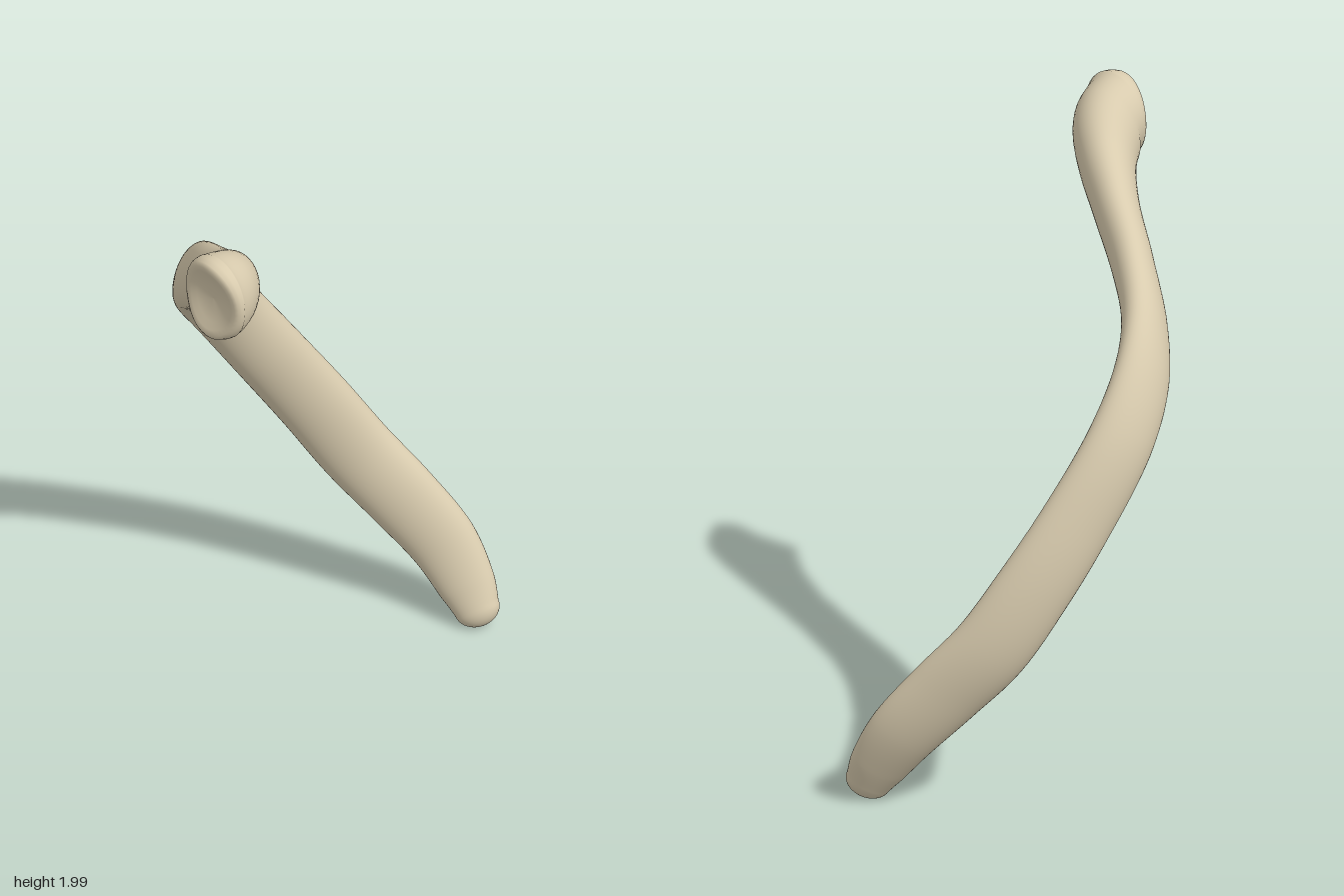
import * as THREE from 'three';

// Stations from head to tip: centre x, y, z, half width, half thickness, twist in degrees
const STATIONS = [
  [-0.622, 1.858, 0.323, 0.141, 0.128, -22],
  [-0.57, 1.835, 0.298, 0.136, 0.114, -32],
  [-0.49, 1.767, 0.218, 0.123, 0.09, -42],
  [-0.4, 1.683, 0.085, 0.11, 0.073, -46],
  [-0.3, 1.575, -0.09, 0.107, 0.067, -45],
  [-0.2, 1.455, -0.245, 0.107, 0.067, -32],
  [-0.1, 1.335, -0.335, 0.108, 0.068, -12],
  [0.03, 1.17, -0.375, 0.11, 0.069, 6],
  [0.2, 0.92, -0.34, 0.115, 0.067, 14],
  [0.32, 0.73, -0.285, 0.119, 0.067, 19],
  [0.42, 0.55, -0.208, 0.121, 0.066, 21],
  [0.505, 0.4, -0.098, 0.118, 0.064, 21],
  [0.575, 0.255, 0.012, 0.109, 0.06, 20],
  [0.597, 0.13, 0.098, 0.091, 0.053, 18],
  [0.6, 0.065, 0.14, 0.072, 0.048, 18],
];
const SIDES = 40;
const STEPS = 112;
const BROAD = new THREE.Vector3(0.82, 0.52, 0.24); // across the plane of the arc
const SIDEWAYS = new THREE.Vector3(1, 0, 0); // the joint face looks along this axis

function createRibGeometry() {
  const path = new THREE.CatmullRomCurve3(
    STATIONS.map(([x, y, z]) => new THREE.Vector3(x, y, z)));
  const section = new THREE.CatmullRomCurve3(
    STATIONS.map(([, , , a, b, t]) => new THREE.Vector3(a, b, THREE.MathUtils.degToRad(t))),
    false, 'catmullrom', 0.5);
  const positions = [];
  const index = [];
  let rings = 0;

  // One elliptical ring, optionally shrunk and pushed along the bone
  function addRing(t, scale = 1, push = () => 0) {
    const centre = path.getPoint(t);
    // the head turns sideways over the first stations
    const turn = 1 - THREE.MathUtils.smoothstep(t, 0, 0.15);
    const along = path.getTangent(t).lerp(SIDEWAYS, turn).normalize();
    const wide = BROAD.clone().addScaledVector(along, -BROAD.dot(along)).normalize();
    const thin = along.clone().cross(wide);
    const s = section.getPoint(t);
    wide.applyAxisAngle(along, s.z);
    thin.applyAxisAngle(along, s.z);
    for (let j = 0; j < SIDES; j++) {
      const angle = (j / SIDES) * Math.PI * 2;
      const p = centre.clone()
        .addScaledVector(wide, Math.cos(angle) * s.x * scale)
        .addScaledVector(thin, Math.sin(angle) * s.y * scale)
        .addScaledVector(along, push(angle));
      positions.push(p.x, p.y, p.z);
    }
    rings++;
  }

  // Joint face of the head: rounded rim, raised at two ends, shallow hollow
  const rim = [[0.002, -0.016], [0.3, -0.018], [0.55, -0.025], [0.72, -0.033],
    [0.85, -0.036], [0.94, -0.029], [0.985, -0.015]];
  for (const [scale, depth] of rim) {
    addRing(0, scale, (a) => depth * (1 + 0.35 * scale * Math.cos(2 * a)));
  }

  // Shaft
  for (let i = 0; i <= STEPS; i++) addRing(i / STEPS);

  // Rounded tip
  for (let i = 1; i <= 10; i++) {
    const a = (i / 10) * Math.PI / 2;
    addRing(1, Math.max(Math.cos(a), 0.002), () => 0.058 * Math.sin(a));
  }

  for (let i = 0; i < rings - 1; i++) {
    for (let j = 0; j < SIDES; j++) {
      const k = (j + 1) % SIDES;
      const a = i * SIDES + j, b = i * SIDES + k;
      index.push(a, b, a + SIDES, b, b + SIDES, a + SIDES);
    }
  }

  const geometry = new THREE.BufferGeometry();
  geometry.setAttribute('position', new THREE.Float32BufferAttribute(positions, 3));
  geometry.setIndex(index);

  // Centre on x and z, stand on y = 0
  geometry.computeBoundingBox();
  const { min, max } = geometry.boundingBox;
  geometry.translate(-(min.x + max.x) / 2, -min.y, -(min.z + max.z) / 2);
  geometry.computeVertexNormals();
  return geometry;
}

export function createModel() {
  const group = new THREE.Group();
  group.name = 'ribBone';
  const bone = new THREE.MeshStandardMaterial({ color: 0xd8cbae });
  bone.name = 'bone';
  const rib = new THREE.Mesh(createRibGeometry(), bone);
  rib.name = 'rib';
  group.add(rib);
  return group;
}
